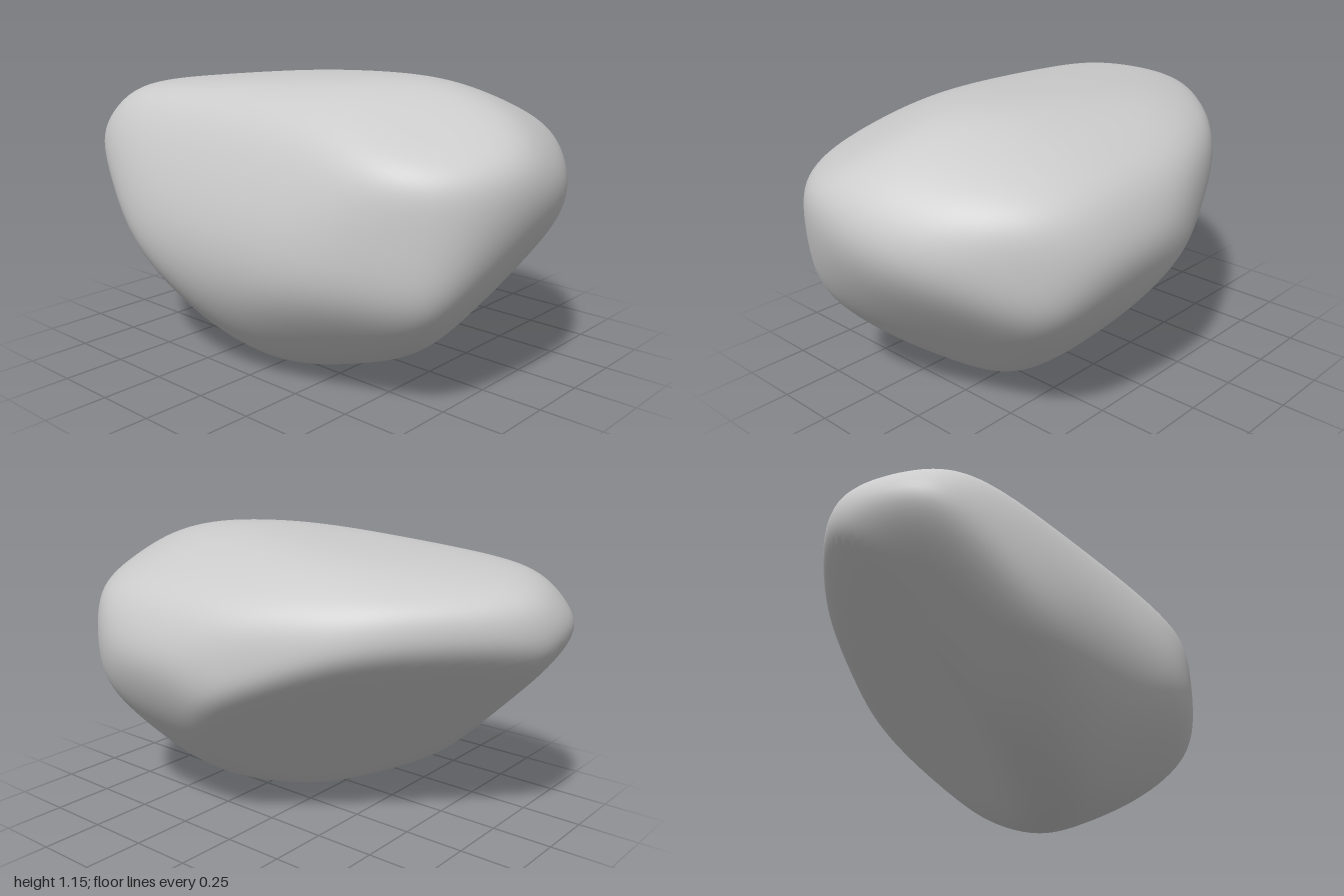
import * as THREE from 'three';
import { mergeVertices } from 'three/addons/utils/BufferGeometryUtils.js';

// Outlines of the boulder in turned and tilted planes: how far it reaches from
// the centre at equal angles, counter-clockwise from the plane's right
const OUTLINES = [
  { turn: 0, tilt: 0, reach: [1, 1.025, 0.95, 0.765, 0.577, 0.768, 0.98, 1.04, 1, 0.825, 0.57, 0.525, 0.577, 0.63, 0.72, 0.86] },
  { turn: 90, tilt: 0, reach: [0.69, 0.71, 0.69, 0.605, 0.577, 0.635, 0.68, 0.675, 0.69, 0.69, 0.67, 0.64, 0.577, 0.51, 0.5, 0.59] },
  { turn: 0, tilt: 90, reach: [1, 0.94, 0.865, 0.787, 0.69, 0.625, 0.69, 0.87, 1, 1.055, 1, 0.825, 0.69, 0.79, 0.93, 1] },
  { turn: 45, tilt: 25, reach: [0.865, 0.78, 0.665, 1.0, 1, 0.7, 0.64, 0.675] },
  { turn: 225, tilt: 25, reach: [1, 0.83, 0.71, 0.91, 0.865, 0.61, 0.455, 0.665] },
  { turn: 135, tilt: -25, reach: [0.69, 0.69, 0.7, 0.965, 0.93, 0.685, 0.61, 0.55] },
];
const POWER = 18; // higher gives sharper edges between facets

// One facet for every outline sample
function makeFacets() {
  const facets = [];
  const addFacet = (n, reach) => facets.push({ n: n.normalize(), reach, h: reach });
  for (const { turn, tilt, reach } of OUTLINES) {
    const a = THREE.MathUtils.degToRad(turn);
    const e = THREE.MathUtils.degToRad(tilt);
    const right = new THREE.Vector3(Math.cos(a), 0, -Math.sin(a));
    const up = new THREE.Vector3(-Math.sin(a) * Math.sin(e), Math.cos(e), -Math.cos(a) * Math.sin(e));
    reach.forEach((r, i) => {
      const t = (i / reach.length) * Math.PI * 2;
      addFacet(right.clone().multiplyScalar(Math.cos(t)).addScaledVector(up, Math.sin(t)), r);
    });
  }
  // Large flat underside at the back, and the gently sloping top
  addFacet(new THREE.Vector3(-0.52, -0.7, -0.49), 0.33);
  addFacet(new THREE.Vector3(-0.1, 1, 0), 0.57);
  return facets;
}

// Rounded intersection of all facets along one direction
function radius(dir, facets) {
  let sum = 0;
  for (const { n, h } of facets) {
    const d = n.dot(dir);
    if (d > 0) sum += (d / h) ** POWER;
  }
  return sum ** (-1 / POWER);
}

// Move each facet until the rounded body reaches as far as intended
function settleFacets(facets, dirs) {
  for (let pass = 0; pass < 40; pass++) {
    const points = dirs.map((d) => d.clone().multiplyScalar(radius(d, facets)));
    for (const f of facets) {
      let far = 0;
      for (const q of points) far = Math.max(far, f.n.dot(q));
      f.h = THREE.MathUtils.clamp(f.h + 0.6 * (f.reach - far), f.reach * 0.97, f.reach * 1.4);
    }
  }
}

function sphere(detail) {
  const g = new THREE.IcosahedronGeometry(1, detail);
  g.deleteAttribute('normal');
  g.deleteAttribute('uv');
  return mergeVertices(g, 1e-4);
}

function directions(geometry) {
  const pos = geometry.attributes.position;
  return Array.from({ length: pos.count }, (_, i) => new THREE.Vector3().fromBufferAttribute(pos, i).normalize());
}

export function createModel() {
  const facets = makeFacets();
  settleFacets(facets, directions(sphere(18)));

  // Boulder: a sphere reshaped by the facets
  const geometry = sphere(44);
  const pos = geometry.attributes.position;
  directions(geometry).forEach((d, i) => {
    d.multiplyScalar(radius(d, facets));
    pos.setXYZ(i, d.x, d.y, d.z);
  });

  // Centre it and stand it on the ground
  geometry.center();
  geometry.computeBoundingBox();
  geometry.translate(0, -geometry.boundingBox.min.y, 0);
  geometry.computeVertexNormals();

  const boulder = new THREE.Mesh(geometry, new THREE.MeshStandardMaterial({ color: 0xcccccc }));
  boulder.name = 'boulder';
  const group = new THREE.Group();
  group.name = 'rock';
  group.add(boulder);
  return group;
}
